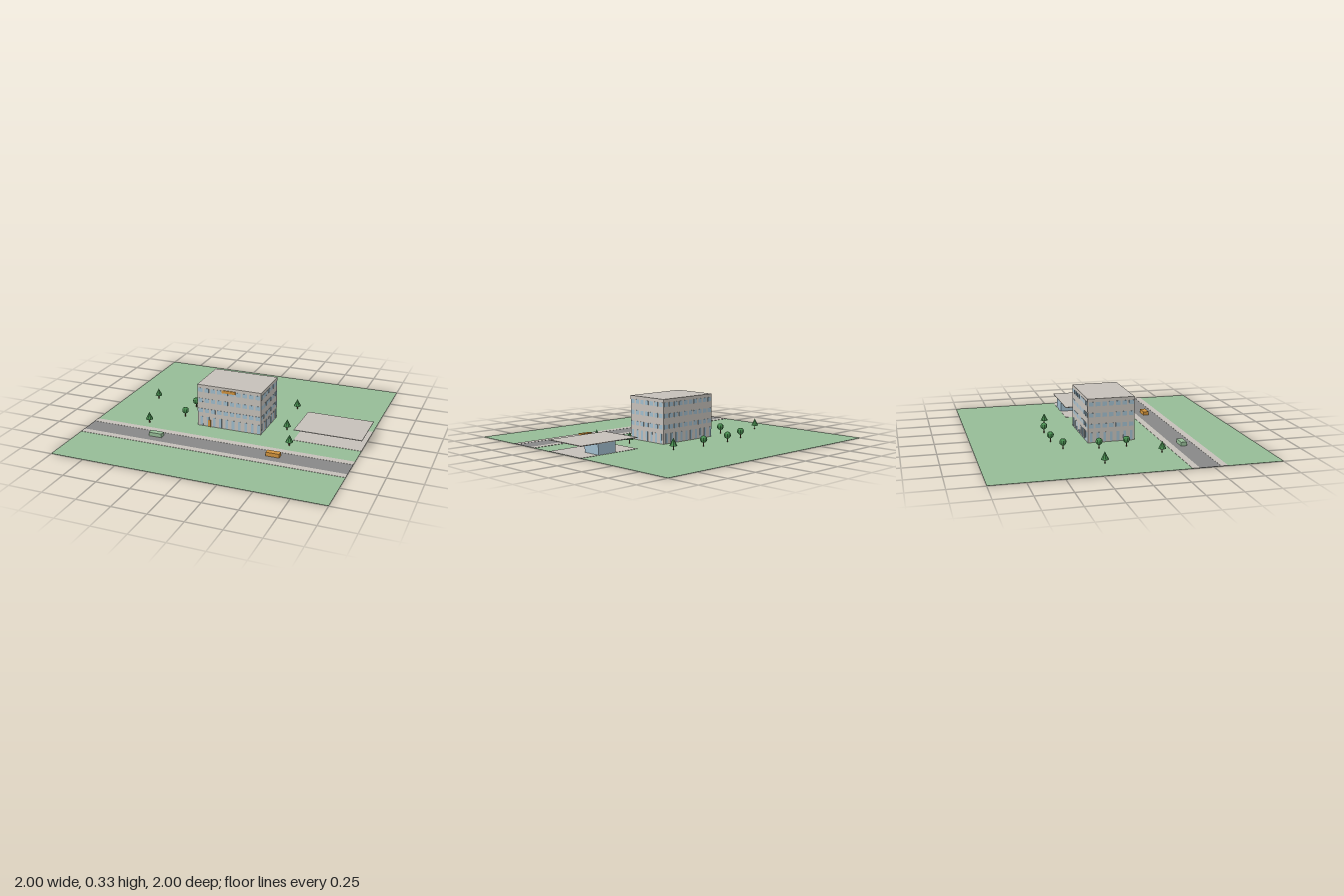
import * as THREE from 'three';

const mat = (name, color, flat = false) => {
  const m = new THREE.MeshStandardMaterial({ color, flatShading: flat });
  m.name = name;
  return m;
};

export function createModel() {
  const grass = mat('grass', 0x95bb96);
  const concrete = mat('concrete', 0xc5c0b9);
  const asphalt = mat('asphalt', 0x878787);
  const glass = mat('glass', 0x9fbccc);
  const orange = mat('orange', 0xd0923c);
  const leaf = mat('leaf', 0x4a9152, true);
  const bark = mat('bark', 0x6b4a32, true);

  const model = new THREE.Group();
  model.name = 'cityBlock';

  const add = (parent, name, geometry, material, x = 0, y = 0, z = 0) => {
    const mesh = new THREE.Mesh(geometry, material);
    mesh.name = name;
    mesh.position.set(x, y, z);
    parent.add(mesh);
    return mesh;
  };
  // Box given by its extents on each axis
  const block = (parent, name, material, [x0, x1], [y0, y1], [z0, z1]) =>
    add(parent, name, new THREE.BoxGeometry(x1 - x0, y1 - y0, z1 - z0), material,
      (x0 + x1) / 2, (y0 + y1) / 2, (z0 + z1) / 2);
  const group = (name) => {
    const g = new THREE.Group();
    g.name = name;
    model.add(g);
    return g;
  };

  // Lawn, pavements and road
  block(model, 'lawn', grass, [-1, 1], [0.0005, 0.002], [-1, 1]);
  block(model, 'backPavement', concrete, [-1, 1], [0.001, 0.004], [0.35, 0.4]);
  block(model, 'frontPavement', concrete, [-1, 1], [0.001, 0.004], [0.55, 0.6]);
  block(model, 'road', asphalt, [-1, 1], [0.001, 0.003], [0.4, 0.55]);

  // Main building
  const W = 0.25, D = 0.175, H = 0.327;
  const building = group('building');
  block(building, 'walls', concrete, [-W, W], [0, H], [-D, D]);

  // Window plates on every facade: three upper rows and a tall ground floor row
  const upper = new THREE.BoxGeometry(0.034, 0.031, 0.004);
  const tall = new THREE.BoxGeometry(0.02, 0.07, 0.004);
  const facades = [
    ['front', 0, D, 10], ['left', Math.PI / 2, W, 7],
    ['back', Math.PI, D, 10], ['right', -Math.PI / 2, W, 7],
  ];
  for (const [side, turn, distance, count] of facades) {
    const facade = new THREE.Group();
    facade.name = side + 'Windows';
    facade.rotation.y = turn;
    building.add(facade);
    for (let i = 0; i < count; i++) {
      const x = (i - (count - 1) / 2) * 0.05;
      for (const y of [0.125, 0.206, 0.287]) add(facade, 'window', upper, glass, x, y, distance);
      add(facade, 'tallWindow', tall, glass, x + (count === 10 ? 0.008 : 0), 0.042, distance);
    }
  }
  block(building, 'door', orange, [-0.165, -0.145], [0.002, 0.055], [D, D + 0.004]);
  block(building, 'signBoard', orange, [-0.053, 0.052], [0.287, 0.308], [D, D + 0.006]);

  // Covered forecourt with a glass kiosk
  const station = group('station');
  block(station, 'forecourt', concrete, [0.5, 1], [0, 0.004], [-D, D]);
  block(station, 'canopyRoof', concrete, [0.5, 1], [0.08, 0.085], [-D, D]);
  block(station, 'kiosk', glass, [0.7, 0.85], [0.004, 0.08], [-0.173, -0.028]);

  // Parked and passing cars
  block(model, 'greenCar', grass, [-0.5, -0.4], [0.004, 0.032], [0.447, 0.49]);
  block(model, 'orangeCar', orange, [0.4, 0.5], [0.004, 0.032], [0.447, 0.49]);

  // Trees
  const trunk = new THREE.CylinderGeometry(0.004, 0.004, 0.04, 6);
  const cone = new THREE.ConeGeometry(0.028, 0.055, 8);
  const crown = new THREE.SphereGeometry(0.026, 8, 6);
  const plant = (name, geometry, y, spots) => {
    for (const [x, z] of spots) {
      const tree = group(name);
      tree.position.set(x, 0, z);
      add(tree, 'trunk', trunk, bark, 0, 0.021, 0);
      add(tree, 'crown', geometry, leaf, 0, y, 0);
    }
  };
  plant('conifer', cone, 0.059,
    [[-0.75, -0.18], [-0.605, 0.27], [0.35, -0.38], [0.4, 0.02], [0.5, 0.27]]);
  plant('roundTree', crown, 0.054,
    [[-0.35, -0.38], [-0.15, -0.43], [0.1, -0.43], [-0.4, -0.13], [-0.4, 0.07]]);

  return model;
}
